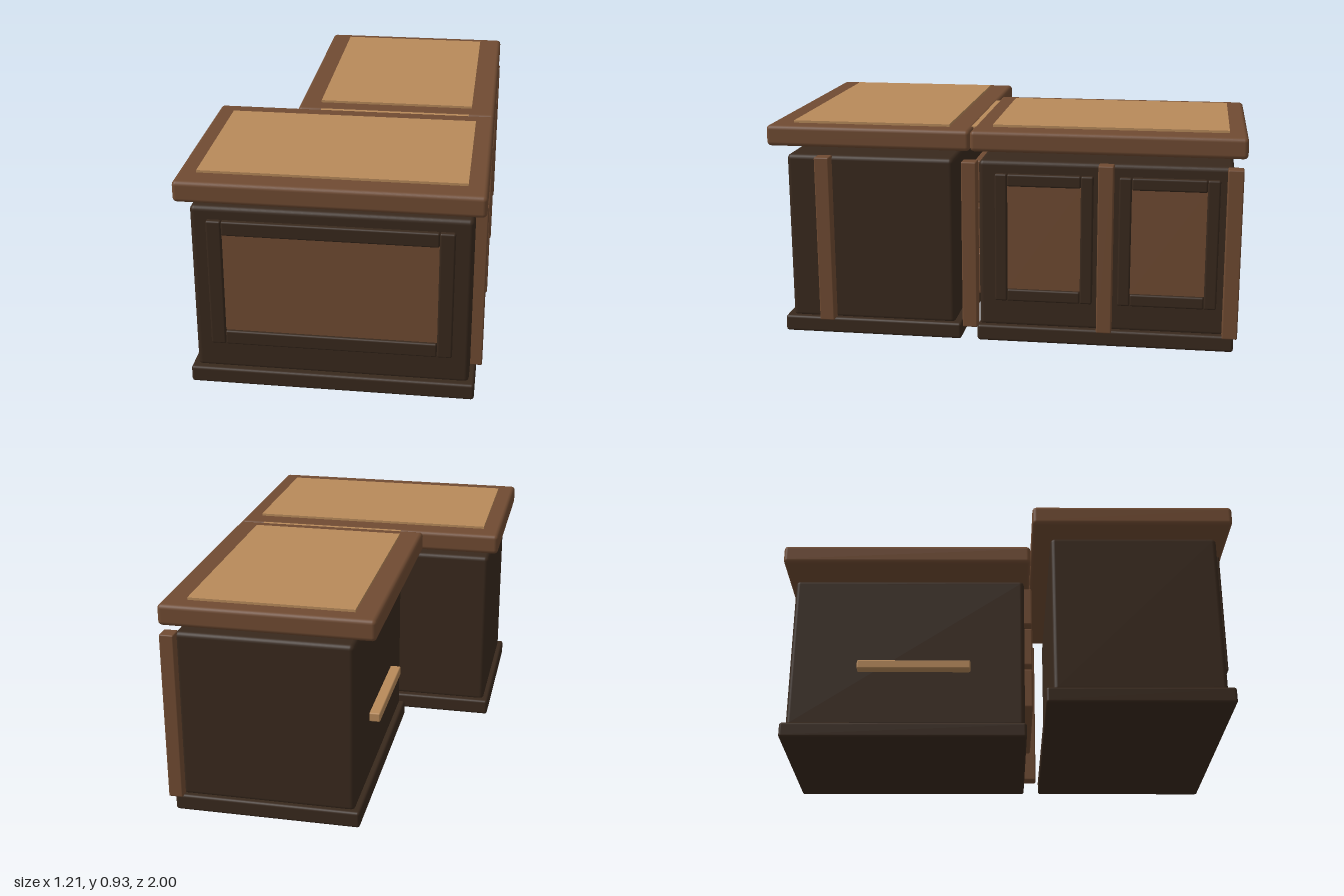
import * as THREE from 'three';
import { RoundedBoxGeometry } from 'three/addons/geometries/RoundedBoxGeometry.js';

export function createModel() {
  const mat = (name, color) => {
    const m = new THREE.MeshStandardMaterial({ color });
    m.name = name;
    return m;
  };
  const dark = mat('dark walnut', 0x39291d);
  const brown = mat('brown wood', 0x704b32);
  const tan = mat('tan inlay', 0xb88a5a);

  const desk = new THREE.Group();
  desk.name = 'cornerDesk';

  // Box from its extents; r > 0 rounds the edges
  const box = (parent, name, material, [x0, x1], [y0, y1], [z0, z1], r = 0) => {
    const w = x1 - x0, h = y1 - y0, d = z1 - z0;
    const geo = r ? new RoundedBoxGeometry(w, h, d, 3, r) : new THREE.BoxGeometry(w, h, d);
    const mesh = new THREE.Mesh(geo, material);
    mesh.name = name;
    mesh.position.set((x0 + x1) / 2, (y0 + y1) / 2, (z0 + z1) / 2);
    parent.add(mesh);
    return mesh;
  };

  // Cabinet: plinth, body, floating worktop and its inlay
  const cabinet = (name, c) => {
    const g = new THREE.Group();
    g.name = name;
    desk.add(g);
    box(g, 'plinth', dark, c.baseX, [0, 0.07], c.baseZ, 0.012);
    box(g, 'body', dark, c.bodyX, [0.06, 0.786], c.bodyZ, 0.02);
    box(g, 'worktop', brown, c.topX, [0.829, 0.917], c.topZ, 0.018);
    box(g, 'inlay', tan, c.inX, [0.9, 0.927], c.inZ);
    return g;
  };
  const front = cabinet('frontCabinet', {
    baseX: [-0.583, 0.58], baseZ: [0.18, 0.96],
    bodyX: [-0.56, 0.556], bodyZ: [0.21, 0.93],
    topX: [-0.606, 0.602], topZ: [0.132, 1],
    inX: [-0.53, 0.525], inZ: [0.23, 0.9],
  });
  const rear = cabinet('rearCabinet', {
    baseX: [-0.195, 0.582], baseZ: [-0.973, 0.11],
    bodyX: [-0.17, 0.556], bodyZ: [-0.95, 0.103],
    topX: [-0.265, 0.602], topZ: [-1, 0.132],
    inX: [-0.17, 0.5], inZ: [-0.925, 0.05],
  });

  // Framed panel of width w in the xy plane, facing +z
  const framedPanel = (parent, name, w, y0, y1, f) => {
    const g = new THREE.Group();
    g.name = name;
    const h = w / 2, z = [-0.01, 0.02];
    box(g, 'panel', brown, [f - h, h - f], [y0 + f, y1 - f], [-0.01, 0.006]);
    for (const s of [-1, 1]) {
      const c = s * (h - f / 2);
      box(g, 'stile', dark, [c - f / 2, c + f / 2], [y0, y1], z, 0.008);
    }
    for (const y of [y0, y1 - f]) box(g, 'rail', dark, [f - h, h - f], [y, y + f], z, 0.008);
    parent.add(g);
    return g;
  };
  framedPanel(front, 'frontPanel', 0.98, 0.183, 0.733, 0.061).position.set(-0.004, 0, 0.93);
  for (const z of [-0.173, -0.691]) {
    const p = framedPanel(rear, 'sidePanel', 0.412, 0.181, 0.733, 0.052);
    p.rotation.y = Math.PI / 2;
    p.position.set(0.556, 0, z);
  }

  // Upright trims along the left side
  for (const z of [0.765, 0.137, -0.432, -0.955]) {
    box(desk, 'trimPost', brown, [0.545, 0.605], [0.066, 0.786], [z - 0.032, z + 0.032], 0.006);
  }

  // Drawer fronts in the gap between the cabinets
  for (let i = 0; i < 3; i++) {
    const y = 0.165 + i * 0.205;
    box(rear, 'drawerFront', brown, [-0.14, 0.45], [y, y + 0.185], [0.09, 0.14], 0.008);
  }
  // Light strip between the worktops
  box(desk, 'joiningStrip', tan, [-0.16, 0.49], [0.86, 0.915], [0.122, 0.142]);

  // Long pull on the inner side
  box(rear, 'handle', tan, [-0.215, -0.16], [0.32, 0.36], [-0.645, -0.14], 0.006);

  return desk;
}
